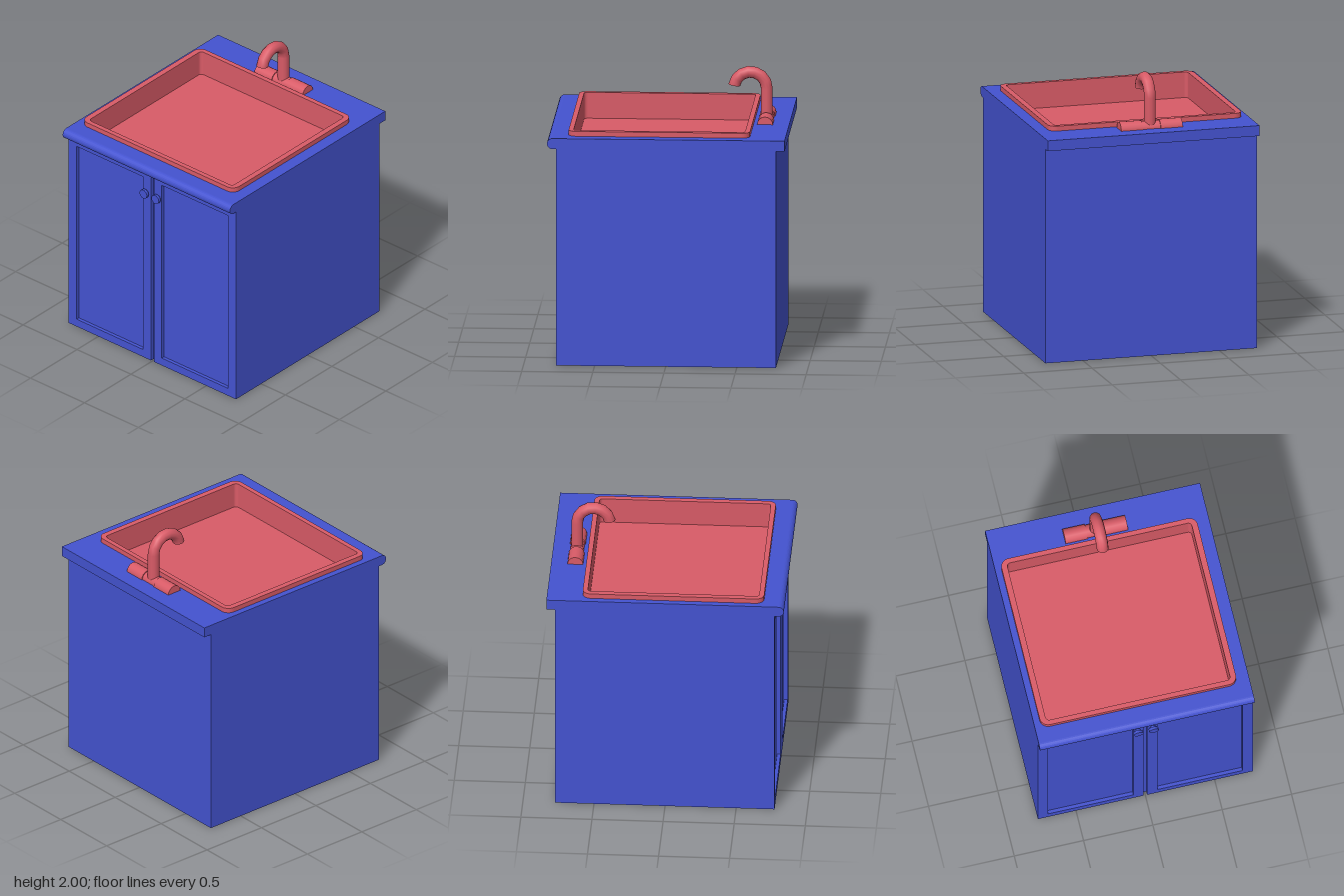
import * as THREE from 'three';

const blue = new THREE.MeshStandardMaterial({ color: 0x4453d0 });
const blueThin = new THREE.MeshStandardMaterial({ color: 0x4453d0, side: THREE.DoubleSide });
const red = new THREE.MeshStandardMaterial({ color: 0xd95b67 });

const HALF = 0.775, TOP = 1.625, UNDER = 1.55;
const SINK_X = -0.053, SINK_Z = -0.022, SINK_FLOOR = 1.475;

// Rounded rectangle centred on (cx, cy); r = 0 gives sharp corners
function rect(cx, cy, w, h, r = 0, PathType = THREE.Shape) {
  const p = new PathType(), x = w / 2, y = h / 2;
  if (r === 0) {
    p.moveTo(cx - x, cy - y).lineTo(cx + x, cy - y).lineTo(cx + x, cy + y).lineTo(cx - x, cy + y).closePath();
    return p;
  }
  p.moveTo(cx - x + r, cy - y);
  p.absarc(cx + x - r, cy - y + r, r, -Math.PI / 2, 0);
  p.absarc(cx + x - r, cy + y - r, r, 0, Math.PI / 2);
  p.absarc(cx - x + r, cy + y - r, r, Math.PI / 2, Math.PI);
  p.absarc(cx - x + r, cy - y + r, r, Math.PI, Math.PI * 1.5);
  return p;
}

const extrude = (shape, depth) =>
  new THREE.ExtrudeGeometry(shape, { depth, bevelEnabled: false, curveSegments: 6 });

// Extrudes a plan drawn in (x, -z) upwards from y
const extrudeUp = (shape, y, height) => extrude(shape, height).rotateX(-Math.PI / 2).translate(0, y, 0);

function add(parent, name, geometry, material, x = 0, y = 0, z = 0) {
  const mesh = new THREE.Mesh(geometry, material);
  mesh.name = name;
  mesh.position.set(x, y, z);
  parent.add(mesh);
  return mesh;
}

function group(parent, name) {
  const g = new THREE.Group();
  g.name = name;
  parent.add(g);
  return g;
}

function buildCabinet(parent) {
  const cabinet = group(parent, 'cabinet');

  // Carcass walls and base
  const walls = rect(0.015, 0, 1.52, HALF * 2);
  walls.holes.push(rect(0.015, 0, 1.48, HALF * 2 - 0.04, 0, THREE.Path));
  add(cabinet, 'carcassWalls', extrudeUp(walls, 0, UNDER), blue);
  add(cabinet, 'carcassBase', new THREE.BoxGeometry(1.48, 0.02, 1.51), blue, 0.015, 0.01, 0);

  // Pair of framed doors on the -x side, with knobs beside the gap
  for (const side of [-1, 1]) {
    const door = group(cabinet, side < 0 ? 'rightDoor' : 'leftDoor');
    const frame = rect(side * 0.394, UNDER / 2, 0.762, UNDER);
    frame.holes.push(rect(side * 0.394, UNDER / 2, 0.615, 1.43, 0, THREE.Path));
    add(door, 'doorFrame', extrude(frame, 0.025).rotateY(-Math.PI / 2), blue, -0.745, 0, 0);
    const knob = new THREE.CylinderGeometry(0.035, 0.035, 0.02, 10).rotateZ(Math.PI / 2);
    add(door, 'knob', knob, blue, -0.795, 1.375, side * 0.055);
    const stem = new THREE.CylinderGeometry(0.02, 0.02, 0.02, 10).rotateZ(Math.PI / 2);
    add(door, 'knobStem', stem, blue, -0.777, 1.375, side * 0.055);
  }
}

function buildCounter(parent) {
  const counter = group(parent, 'counter');
  const height = TOP - UNDER, r = height / 2;

  // Thin top with a cut-out for the basin
  const top = rect(0.0325, 0, 1.605, HALF * 2);
  top.holes.push(rect(SINK_X, -SINK_Z, 1.24, 1.38, 0, THREE.Path));
  add(counter, 'counterTop', new THREE.ShapeGeometry(top).rotateX(-Math.PI / 2), blueThin, 0, TOP, 0);

  // End skirts and rear lip; the rear overhang is open underneath
  for (const side of [-1, 1]) {
    add(counter, 'counterEnd', new THREE.PlaneGeometry(1.605, height), blueThin, 0.0325, TOP - r, side * HALF);
  }
  add(counter, 'rearLip', new THREE.PlaneGeometry(HALF * 2, height).rotateY(Math.PI / 2), blueThin, 0.835, TOP - r, 0);

  // Bullnose over the doors
  const nose = new THREE.Shape();
  nose.moveTo(-0.74, UNDER).lineTo(-0.74, TOP).lineTo(-0.835 + r, TOP);
  nose.absarc(-0.835 + r, TOP - r, r, Math.PI / 2, Math.PI * 1.5);
  add(counter, 'bullnose', extrude(nose, HALF * 2), blue, 0, 0, -HALF);
}

function buildSink(parent) {
  const sink = group(parent, 'sink');
  const rim = rect(SINK_X, -SINK_Z, 1.275, 1.415, 0.06);
  rim.holes.push(rect(SINK_X, -SINK_Z, 1.205, 1.33, 0.025, THREE.Path));
  add(sink, 'basinWalls', extrudeUp(rim, SINK_FLOOR, 1.66 - SINK_FLOOR), red);
  add(sink, 'basinFloor', new THREE.BoxGeometry(1.24, 0.02, 1.38), red, SINK_X, SINK_FLOOR - 0.01, SINK_Z);
}

function buildFaucet(parent) {
  const faucet = group(parent, 'faucet');
  faucet.position.set(0.665, TOP, SINK_Z);

  // Horizontal valve body with a thicker handle at each end
  const bar = (r, length) => new THREE.CylinderGeometry(r, r, length, 16).rotateX(Math.PI / 2);
  add(faucet, 'valveBody', bar(0.048, 0.16), red);
  for (const side of [-1, 1]) add(faucet, 'handle', bar(0.055, 0.16), red, 0, 0, side * 0.145);

  // Upright pipe and hooked spout
  const rise = 0.217, bend = 0.115, radius = 0.042;
  add(faucet, 'spoutPipe', new THREE.CylinderGeometry(radius, radius, rise, 12), red, 0, rise / 2, 0);
  const arc = THREE.MathUtils.degToRad(170);
  add(faucet, 'spoutHook', new THREE.TorusGeometry(bend, radius, 12, 7, arc), red, -bend, rise, 0);
  const tip = add(faucet, 'spoutTip', new THREE.CircleGeometry(radius, 12).rotateX(Math.PI / 2), red,
    -bend + bend * Math.cos(arc), rise + bend * Math.sin(arc), 0);
  tip.rotation.z = arc - Math.PI;
}

export function createModel() {
  const model = new THREE.Group();
  model.name = 'sinkCabinet';
  buildCabinet(model);
  buildCounter(model);
  buildSink(model);
  buildFaucet(model);
  return model;
}
